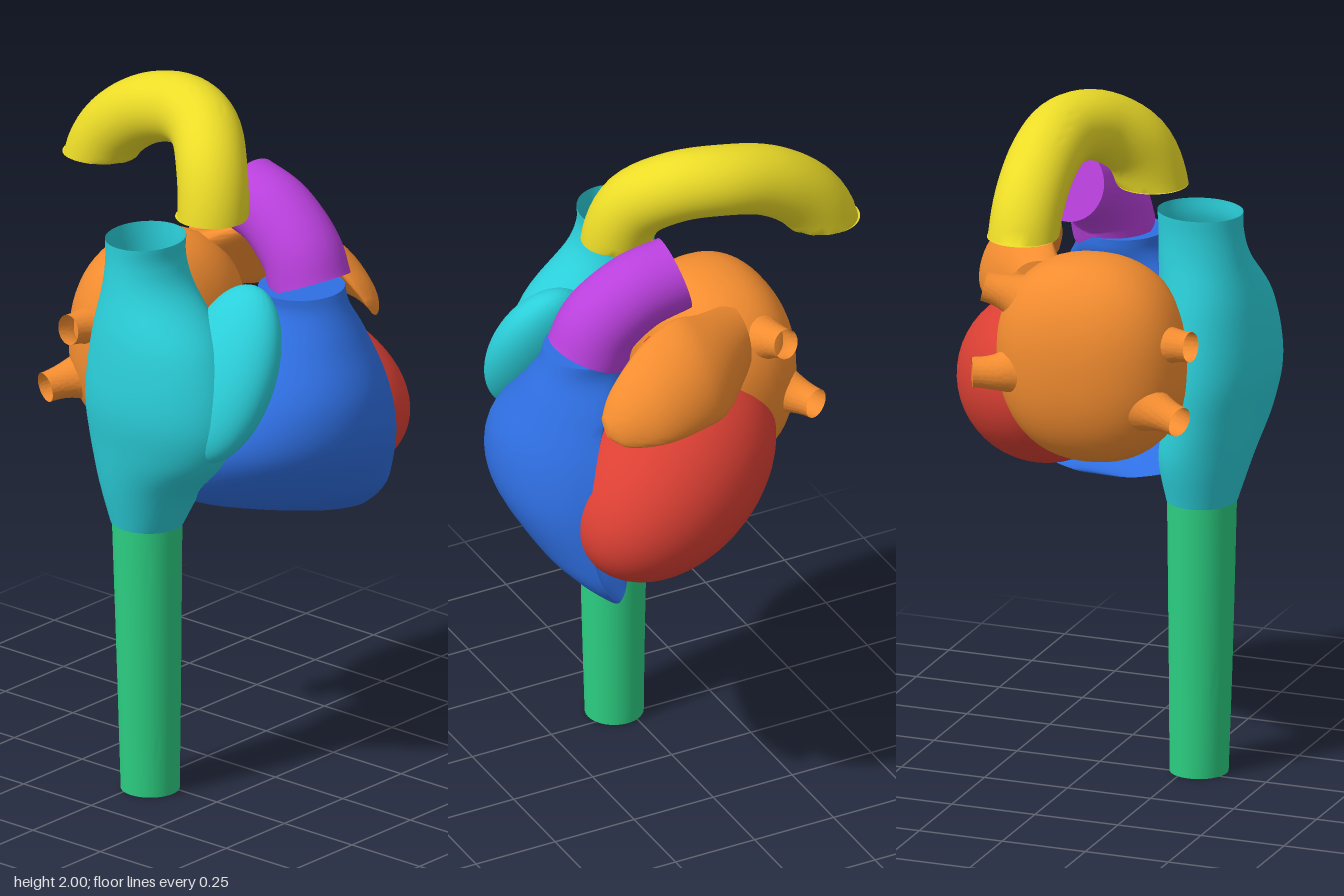
import * as THREE from 'three';
import { toCreasedNormals } from 'three/addons/utils/BufferGeometryUtils.js';

const V = (x, y, z) => new THREE.Vector3(x, y, z);
const SIDES = 48;

// Smoothly interpolate rows of numbers, `steps` rows per span
function smoothRows(rows, steps = 6) {
  const out = [];
  for (let i = 0; i < rows.length - 1; i++) {
    const [p, a, b, q] = [rows[Math.max(i - 1, 0)], rows[i], rows[i + 1], rows[Math.min(i + 2, rows.length - 1)]];
    for (let s = 0; s < steps; s++) {
      const t = s / steps;
      out.push(a.map((v, k) => v + 0.5 * t * (b[k] - p[k] + t * (2 * p[k] - 5 * v + 4 * b[k] - q[k]
        + t * (3 * (v - b[k]) + q[k] - p[k])))));
    }
  }
  out.push(rows[rows.length - 1]);
  return out;
}

// Skin a list of closed rings, with optional end caps
function loft(rings, capped = true) {
  const n = rings[0].length, last = rings.length - 1, index = [];
  const points = rings.flat();
  for (let i = 0; i < last; i++) {
    for (let j = 0; j < n; j++) {
      const a = i * n + j, b = i * n + (j + 1) % n;
      index.push(a, a + n, b, b, a + n, b + n);
    }
  }
  if (capped) {
    for (const i of [0, last]) {
      const m = points.length;
      points.push(rings[i].reduce((s, p) => s.add(p), V(0, 0, 0)).divideScalar(n));
      for (let j = 0; j < n; j++) {
        const a = i * n + j, b = i * n + (j + 1) % n;
        index.push(m, ...(i === 0 ? [a, b] : [b, a]));
      }
    }
  }
  const g = new THREE.BufferGeometry().setFromPoints(points);
  g.setIndex(index);
  return toCreasedNormals(g, 0.9);
}

const ring = (fn) => Array.from({ length: SIDES }, (_, j) => {
  const t = j / SIDES * Math.PI * 2;
  return fn(Math.cos(t), Math.sin(t));
});

// Upright body from rows [y, centre x, centre z, radius x, radius z]
const column = (rows, capped) => loft(smoothRows(rows).map(([y, x, z, rx, rz]) =>
  ring((c, s) => V(x + rx * c, y, z + rz * s))), capped);

// Round vessel along a curve; radius may vary; minY trims the ends level
function vessel(points, radius, capped = true, minY = -1) {
  const curve = new THREE.CatmullRomCurve3(points.map((p) => V(...p)));
  const n = 40, f = curve.computeFrenetFrames(n);
  const rings = [];
  for (let i = 0; i <= n; i++) {
    const p = curve.getPointAt(i / n), r = radius(i / n);
    rings.push(ring((c, s) => {
      const v = p.clone().addScaledVector(f.normals[i], r * c).addScaledVector(f.binormals[i], -r * s);
      v.y = Math.max(v.y, minY);
      return v;
    }));
  }
  return loft(rings, capped);
}

// Ellipsoid whose second radius lies along `dir`; power below 1 makes it boxier
function blob(centre, radii, dir, power = 1) {
  const g = new THREE.SphereGeometry(1, 48, 32), p = g.attributes.position;
  for (let i = 0; i < p.count; i++) {
    const v = [p.getX(i), p.getY(i), p.getZ(i)].map((k) => Math.sign(k) * Math.abs(k) ** power);
    p.setXYZ(i, ...v);
  }
  g.scale(...radii);
  g.applyQuaternion(new THREE.Quaternion().setFromUnitVectors(V(0, 1, 0), V(...dir).normalize()));
  g.translate(...centre);
  return toCreasedNormals(g, 0.9);
}

export function createModel() {
  const model = new THREE.Group();
  const add = (name, color, geometry, parent = model) => {
    const m = new THREE.Mesh(geometry, new THREE.MeshStandardMaterial({ color, side: THREE.DoubleSide }));
    m.name = name;
    parent.add(m);
  };
  const group = (name) => {
    const g = new THREE.Group();
    g.name = name;
    model.add(g);
    return g;
  };
  const [GREEN, CYAN, BLUE, RED, ORANGE, PURPLE, YELLOW] =
    [0x2ccf82, 0x2bcfda, 0x2f6fe2, 0xdc4034, 0xf28c30, 0xb940dc, 0xecdc28];

  // Lower vein
  add('inferiorVenaCava', GREEN, column([
    [0, -0.285, 0.033, 0.083, 0.083], [0.35, -0.29, 0.033, 0.09, 0.09], [0.815, -0.295, 0.03, 0.098, 0.1]]));

  // Right atrium, open at the upper vein
  const rightAtrium = group('rightAtrium');
  add('rightAtriumBody', CYAN, column([
    [0.805, -0.295, 0.03, 0.1, 0.105], [0.93, -0.3, 0.05, 0.13, 0.16], [1.06, -0.32, 0.1, 0.14, 0.23],
    [1.2, -0.325, 0.11, 0.155, 0.25], [1.38, -0.315, 0.09, 0.15, 0.21], [1.52, -0.3, 0.04, 0.13, 0.13],
    [1.6, -0.295, 0.025, 0.122, 0.107], [1.66, -0.293, 0.023, 0.123, 0.107]], false), rightAtrium);
  add('rightAuricle', CYAN, blob([-0.25, 1.3, 0.29], [0.1, 0.26, 0.155], [0.45, 0.9, 0]), rightAtrium);

  // Right ventricle: crescent sections between a back tip A and a front tip B
  // rows: y, A(x, z), B(x, z), outer bulge, inner bulge
  add('rightVentricle', BLUE, loft(smoothRows([
    [0.77, 0.12, 0.22, 0.3, 0.33, 0.05, -0.02], [0.825, -0.08, 0.08, 0.32, 0.37, 0.15, 0.01],
    [0.9, -0.24, 0.03, 0.315, 0.4, 0.23, 0.05], [1.05, -0.31, 0.08, 0.3, 0.42, 0.29, 0.06],
    [1.2, -0.24, 0.14, 0.28, 0.39, 0.29, 0.04], [1.34, -0.13, 0.22, 0.235, 0.34, 0.21, -0.04],
    [1.43, -0.075, 0.28, 0.185, 0.31, 0.145, -0.11], [1.48, -0.07, 0.3, 0.18, 0.3, 0.12, -0.12],
  ]).map(([y, ax, az, bx, bz, outer, inner]) => {
    const hx = (bx - ax) / 2, hz = (bz - az) / 2, len = Math.hypot(hx, hz);
    return ring((c, s) => {
      const h = Math.abs(s) * (s > 0 ? outer : inner);
      return V(ax + hx + hx * c - hz / len * h, y, az + hz + hz * c + hx / len * h);
    });
  })));

  // Left ventricle, apex pointing forward, down and to the left
  const leftVentricle = group('leftVentricle');
  add('leftVentricleBody', RED, blob([0.2, 1.09, 0.1], [0.25, 0.375, 0.25], [0.45, -0.3, 0.8]), leftVentricle);
  add('aorticRoot', RED, column([[1.2, 0.06, 0.02, 0.1, 0.09], [1.38, 0.04, 0.02, 0.09, 0.08]]), leftVentricle);

  // Left atrium with four flared vein openings
  const leftAtrium = group('leftAtrium');
  add('leftAtriumBody', ORANGE, blob([-0.04, 1.25, -0.15], [0.275, 0.3, 0.21], [0.06, 1, -0.03], 0.88), leftAtrium);
  const veins = [
    [[0.12, 1.4, -0.19], [0.2, 1.43, -0.21], [0.26, 1.445, -0.225]],
    [[0.11, 1.23, -0.24], [0.19, 1.22, -0.29], [0.26, 1.22, -0.32]],
    [[-0.2, 1.31, -0.18], [-0.29, 1.33, -0.2], [-0.355, 1.335, -0.21]],
    [[-0.2, 1.16, -0.23], [-0.29, 1.15, -0.27], [-0.355, 1.14, -0.295]]];
  for (const path of veins) {
    add('pulmonaryVein', ORANGE, vessel(path, (t) => 0.043 + 0.055 * (1 - t) ** 2, false), leftAtrium);
  }

  // Left auricle: a thin domed leaf; rows: z, centre x, centre y, half width, half thickness
  const leaf = smoothRows([
    [-0.14, 0.14, 1.43, 0.1, 0.07], [0, 0.27, 1.46, 0.145, 0.05], [0.1, 0.31, 1.475, 0.16, 0.045],
    [0.22, 0.325, 1.445, 0.14, 0.04], [0.32, 0.31, 1.39, 0.085, 0.03], [0.36, 0.29, 1.36, 0.03, 0.015]]);
  add('leftAuricle', ORANGE, loft(leaf.map(([z, x, y, w, t]) => ring((c, s) => {
    const lift = -t * s - 0.2 * w * c * c;
    return V(x + 0.65 * w * c + 0.75 * lift, y - 0.75 * w * c + 0.65 * lift, z);
  }))), leftAtrium);

  // Great arteries
  add('pulmonaryTrunk', PURPLE, vessel(
    [[0.08, 1.48, 0.31], [0.085, 1.56, 0.275], [0.1, 1.645, 0.17], [0.112, 1.68, 0.05]],
    (t) => 0.118 - 0.01 * t));
  add('aorta', YELLOW, vessel(
    [[-0.115, 1.6, 0.11], [-0.11, 1.7, 0.115], [-0.075, 1.81, 0.08], [0, 1.885, -0.01], [0.05, 1.9, -0.13],
      [0.06, 1.865, -0.27], [0.058, 1.78, -0.39], [0.055, 1.69, -0.445], [0.055, 1.6, -0.455]],
    () => 0.1, true, 1.69));

  return model;
}
